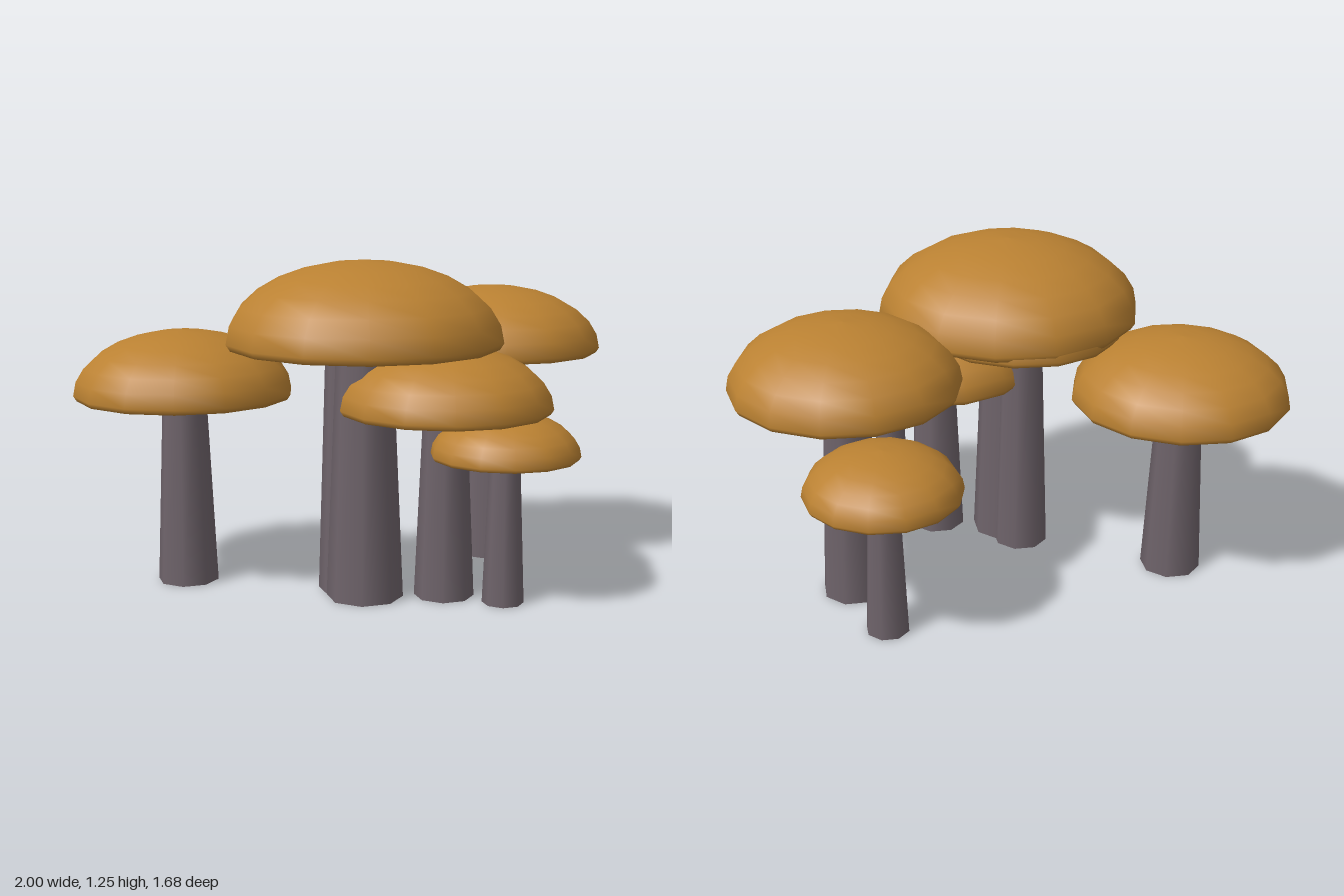
import * as THREE from 'three';

const capMaterial = new THREE.MeshStandardMaterial({ color: 0xba8132 });
capMaterial.name = 'ochre cap';
const stemMaterial = new THREE.MeshStandardMaterial({ color: 0x6e636a });
stemMaterial.name = 'grey stem';

// Each mushroom: centre x and z, height of the cap's underside, cap radius
const MUSHROOMS = [
  ['backRight', -0.585, -0.435, 0.715, 0.415],
  ['tallest', -0.21, 0.18, 0.935, 0.508],
  ['nested', -0.195, 0.06, 0.91, 0.385],
  ['left', 0.57, 0.067, 0.84, 0.428],
  ['front', 0.02, 0.367, 0.695, 0.397],
  ['smallFront', 0.12, 0.577, 0.543, 0.274],
  ['smallBack', 0.595, -0.248, 0.555, 0.29],
];

// Unit cap: flat underside, rounded rim, flattened dome
function capGeometry() {
  const points = [new THREE.Vector2(0, 0), new THREE.Vector2(0.9, 0), new THREE.Vector2(0.97, 0.008)];
  const steps = 7;
  for (let i = 0; i <= steps; i++) {
    const a = (i / steps) * Math.PI / 2;
    const r = i === steps ? 0 : Math.cos(a);
    points.push(new THREE.Vector2(r, 0.055 + 0.57 * Math.sin(a)));
  }
  return new THREE.LatheGeometry(points, 14).rotateY(Math.PI / 2);
}

function createMushroom(cap, [name, x, z, capY, radius]) {
  const group = new THREE.Group();
  group.name = name + 'Mushroom';
  group.position.set(x, 0, z);

  // Tapered stem reaching a little way into the cap
  const height = capY + 0.1 * radius;
  const stem = new THREE.Mesh(
    new THREE.CylinderGeometry(0.2 * radius, 0.282 * radius, height, 8), stemMaterial);
  stem.name = 'stem';
  stem.position.y = height / 2;

  const capMesh = new THREE.Mesh(cap, capMaterial);
  capMesh.name = 'cap';
  capMesh.position.y = capY;
  capMesh.scale.setScalar(radius);

  group.add(stem, capMesh);
  return group;
}

export function createModel() {
  const model = new THREE.Group();
  model.name = 'mushroomCluster';
  const cap = capGeometry();
  for (const spec of MUSHROOMS) model.add(createMushroom(cap, spec));
  return model;
}
